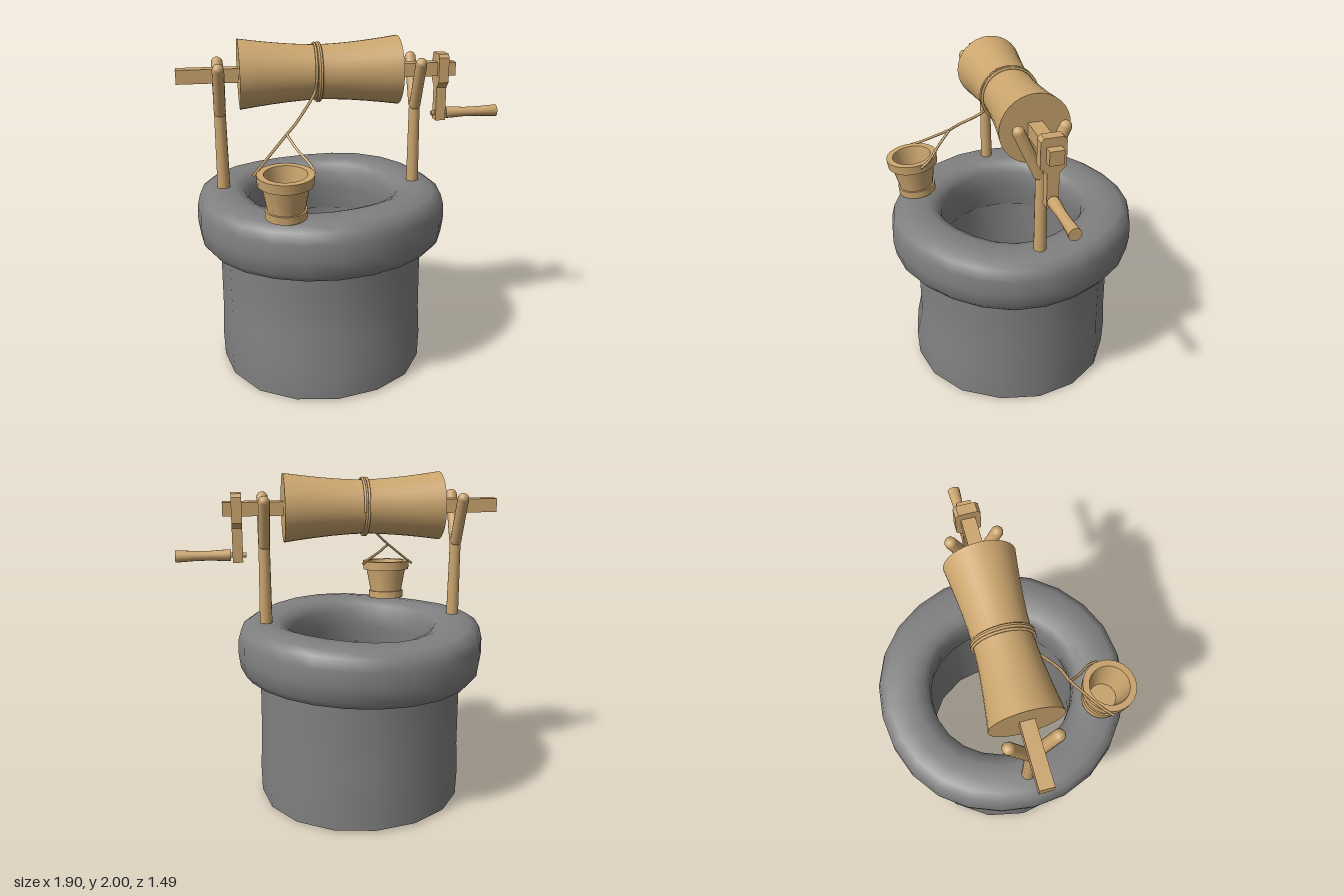
import * as THREE from 'three';
import { toCreasedNormals } from 'three/addons/utils/BufferGeometryUtils.js';

const stone = new THREE.MeshStandardMaterial({ color: 0x808080 });
stone.name = 'stone';
const wood = new THREE.MeshStandardMaterial({ color: 0xcba56e });
wood.name = 'wood';

const V = (x, y, z) => new THREE.Vector3(x, y, z);

function part(parent, name, geometry, material, x = 0, y = 0, z = 0) {
  const mesh = new THREE.Mesh(geometry, material);
  mesh.name = name;
  mesh.position.set(x, y, z);
  parent.add(mesh);
  return mesh;
}

// Lathe with sharp corners kept; warp(v, angle) may shift each vertex
function turned(points, segments, crease = 0.7, warp = null) {
  const g = new THREE.LatheGeometry(points.map(p => new THREE.Vector2(...p)), segments);
  if (warp) {
    const p = g.attributes.position, v = V(0, 0, 0);
    for (let i = 0; i < p.count; i++) {
      v.fromBufferAttribute(p, i);
      warp(v, Math.atan2(v.x, v.z));
      p.setXYZ(i, v.x, v.y, v.z);
    }
  }
  return toCreasedNormals(g, crease);
}

// Straight round bar between two points, with a domed end
function bar(parent, name, a, b, radius) {
  const dir = b.clone().sub(a);
  const mesh = part(parent, name, new THREE.CapsuleGeometry(radius, dir.length(), 4, 12), wood);
  mesh.position.copy(a).add(b).multiplyScalar(0.5);
  mesh.quaternion.setFromUnitVectors(V(0, 1, 0), dir.normalize());
}

function rope(parent, name, points, segments) {
  const curve = new THREE.CatmullRomCurve3(points, false, 'centripetal');
  part(parent, name, new THREE.TubeGeometry(curve, segments, 0.008, 6), wood);
}

function stonework(root) {
  const group = new THREE.Group();
  group.name = 'stonework';
  group.position.x = -0.14;
  root.add(group);

  // Open shaft, slightly swollen near the ground at the front
  const shaft = [[0.49, 0.012], [0.625, 0.012], [0.63, 0.18], [0.62, 0.36], [0.618, 0.6], [0.618, 0.84],
    [0.46, 0.84], [0.48, 0.4], [0.49, 0.012]];
  part(group, 'wellShaft', turned(shaft, 16, 0.8, (v, a) => {
    if (v.y < 0.1) v.y += 0.008 * Math.sin(2 * a + 0.6);
    if (v.z > 0.4 && v.y < 0.3) v.z += 0.02;
    else if (v.z > 0.4) v.z -= 0.012;
  }), stone);

  // Thick rounded coping with an uneven surface
  const coping = [[0.45, 0.8], [0.6, 0.79], [0.7, 0.798], [0.733, 0.84], [0.745, 0.93], [0.742, 1.02], [0.725, 1.085],
    [0.68, 1.115], [0.6, 1.125], [0.52, 1.122], [0.462, 1.1], [0.435, 1.05], [0.43, 0.95], [0.45, 0.8]];
  part(group, 'wellCoping', turned(coping, 24, 0.9, (v, a) => {
    v.y += (v.y > 1.05 ? 0.011 : 0.007) * Math.sin(3 * a + 0.5);
    const s = 1 + 0.006 * Math.sin(5 * a + 1);
    v.x *= s;
    v.z *= s;
  }), stone);
}

function windlass(root) {
  const group = new THREE.Group();
  group.name = 'windlass';
  root.add(group);

  // Forked posts
  for (const x of [-0.72, 0.435]) {
    part(group, 'post', new THREE.CylinderGeometry(0.033, 0.038, 0.53, 12), wood, x, 1.345, 0);
    for (const s of [-1, 1]) bar(group, 'postFork', V(x, 1.59, s * 0.012), V(x, 1.85, s * 0.127), 0.034);
  }

  // Waisted drum on a square axle
  const profile = [[0, -0.4625]];
  for (let i = 0; i <= 10; i++) {
    const t = i / 5 - 1;
    profile.push([0.157 + 0.043 * Math.pow(Math.abs(t), 1.6), t * 0.4625]);
  }
  profile.push([0, 0.4625]);
  part(group, 'drum', turned(profile, 32).rotateZ(-Math.PI / 2), wood, -0.1425, 1.8, 0);
  part(group, 'axle', new THREE.BoxGeometry(1.625, 0.08, 0.08), wood, -0.1425, 1.8, 0);

  // Crank plate with a wide head tapering into the arm
  const plate = new THREE.Shape([[-0.033, 1.49], [0.033, 1.49], [0.033, 1.69], [0.07, 1.725], [0.07, 1.87],
    [0.052, 1.89], [-0.052, 1.89], [-0.07, 1.87], [-0.07, 1.725], [-0.033, 1.69]].map(p => new THREE.Vector2(...p)));
  const crank = new THREE.ExtrudeGeometry(plate, { depth: 0.06, bevelEnabled: false }).rotateY(Math.PI / 2);
  part(group, 'crankArm', crank, wood, 0.56, 0, 0);
  part(group, 'handlePin', new THREE.CylinderGeometry(0.015, 0.015, 0.14, 10).rotateZ(-Math.PI / 2), wood, 0.61, 1.53, 0);
  const grip = [[0, 0], [0.034, 0], [0.034, 0.03], [0.028, 0.12], [0.03, 0.22], [0.036, 0.32], [0, 0.32]];
  part(group, 'crankHandle', turned(grip, 14).rotateZ(-Math.PI / 2), wood, 0.63, 1.53, 0);
}

function bucket(root) {
  // Hollow bucket with top and bottom bands, leaning a little outward
  const profile = [[0, 0], [0.115, 0], [0.115, 0.045], [0.104, 0.045], [0.131, 0.19], [0.152, 0.19], [0.155, 0.245],
    [0.117, 0.245], [0.08, 0.05], [0, 0.05]];
  const mesh = part(root, 'bucket', turned(profile, 24), wood, -0.405, 1.125, 0.535);
  mesh.rotation.x = 0.09;

  // Bail ropes meeting at a knot
  const knot = V(-0.37, 1.52, 0.32);
  rope(root, 'bailRope', [V(-0.575, 1.355, 0.53), V(-0.535, 1.385, 0.48), knot], 12);
  rope(root, 'bailRope', [V(-0.245, 1.355, 0.53), V(-0.26, 1.385, 0.48), V(-0.325, 1.455, 0.395), knot], 12);

  // Lifting rope wound round the drum
  const path = [knot, V(-0.31, 1.575, 0.28)];
  const turns = 2.6, steps = 48;
  for (let i = 0; i <= steps; i++) {
    const t = i / steps, a = -0.55 + t * turns * Math.PI * 2;
    path.push(V(-0.185 + 0.045 * Math.sqrt(t), 1.8 + 0.165 * Math.sin(a), 0.165 * Math.cos(a)));
  }
  rope(root, 'liftingRope', path, 160);
}

export function createModel() {
  const root = new THREE.Group();
  root.name = 'well';
  stonework(root);
  windlass(root);
  bucket(root);
  return root;
}
